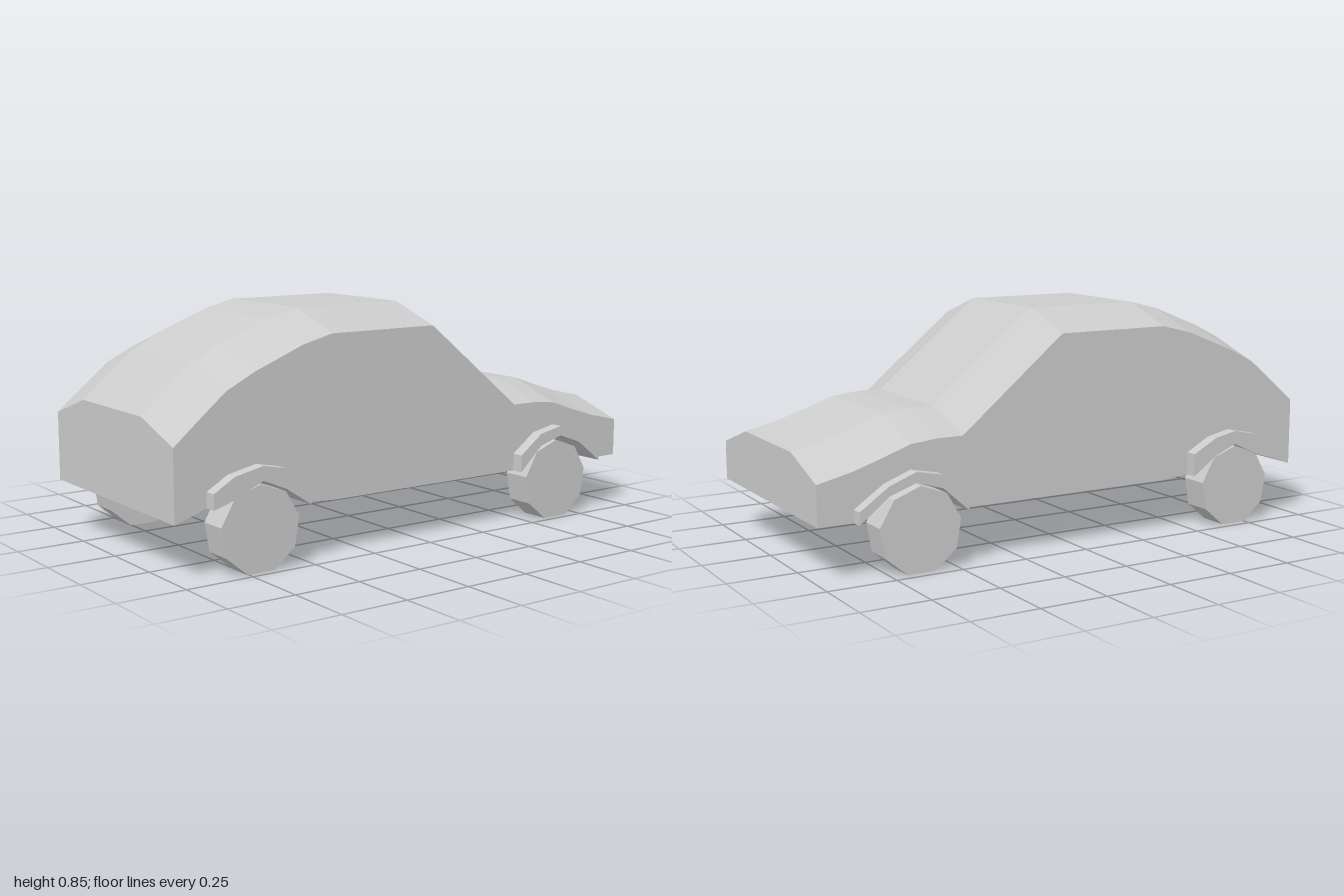
import * as THREE from 'three';

const material = () => new THREE.MeshStandardMaterial({ color: 0xcccccc, flatShading: true });

// Body stations along the car: [x, underside y, roofline y]
const STATIONS = [
  [-1, 0.195, 0.52], [-0.88, 0.235, 0.62], [-0.8, 0.26, 0.685], [-0.69, 0.31, 0.74],
  [-0.6, 0.272, 0.775], [-0.5, 0.205, 0.815], [-0.38, 0.195, 0.845], [0.06, 0.195, 0.845],
  [0.46, 0.195, 0.52], [0.56, 0.285, 0.52], [0.66, 0.315, 0.51], [0.76, 0.28, 0.475],
  [0.87, 0.195, 0.44], [1, 0.195, 0.41],
];
const HALF = 0.43, INNER = 0.215, DROP = 0.072;

// Loft the six-sided cross-section through all stations and cap both ends
function bodyGeometry() {
  const rings = STATIONS.map(([x, bottom, top]) => [
    [x, bottom, -HALF], [x, bottom, HALF], [x, top - DROP, HALF],
    [x, top, INNER], [x, top, -INNER], [x, top - DROP, -HALF],
  ]);
  const pos = [];
  const tri = (a, b, c) => pos.push(...a, ...b, ...c);
  for (let i = 0; i < rings.length - 1; i++) {
    for (let j = 0; j < 6; j++) {
      const k = (j + 1) % 6, r = rings[i], s = rings[i + 1];
      tri(r[j], s[j], r[k]);
      tri(s[j], s[k], r[k]);
    }
  }
  const rear = rings[0], nose = rings[rings.length - 1];
  for (let j = 1; j < 5; j++) {
    tri(rear[0], rear[j], rear[j + 1]);
    tri(nose[0], nose[j + 1], nose[j]);
  }
  const geometry = new THREE.BufferGeometry();
  geometry.setAttribute('position', new THREE.Float32BufferAttribute(pos, 3));
  geometry.computeVertexNormals();
  return geometry;
}

// Arch lip: outer curve, closed along the body's own wheel cut-out
function archGeometry(outer) {
  const x0 = outer[0][0], x1 = outer[outer.length - 1][0];
  const inner = STATIONS.filter(([x]) => x >= x0 && x <= x1).map(([x, y]) => [x, y]).reverse();
  const shape = new THREE.Shape([...outer, ...inner].map(([x, y]) => new THREE.Vector2(x, y)));
  return new THREE.ExtrudeGeometry(shape, { depth: 0.045, bevelEnabled: false });
}

export function createModel() {
  const car = new THREE.Group();
  car.name = 'car';
  const add = (name, geometry, x = 0, y = 0, z = 0) => {
    const mesh = new THREE.Mesh(geometry, material());
    mesh.name = name;
    mesh.position.set(x, y, z);
    car.add(mesh);
  };

  add('body', bodyGeometry());

  // Nine-sided wheels with a corner at the top, and lips over the cut-outs
  const wheel = new THREE.CylinderGeometry(0.1547, 0.1547, 0.108, 9).rotateX(-Math.PI / 2);
  const axles = [
    { name: 'rear', x: -0.7, arch: [[-0.88, 0.29], [-0.8, 0.337], [-0.69, 0.36], [-0.6, 0.342], [-0.5, 0.29]] },
    { name: 'front', x: 0.64, arch: [[0.46, 0.26], [0.56, 0.332], [0.66, 0.352], [0.76, 0.315], [0.87, 0.24]] },
  ];
  for (const { name, x, arch } of axles) {
    const lip = archGeometry(arch);
    add(name + 'LeftWheel', wheel, x, 0.1453, -0.411);
    add(name + 'RightWheel', wheel, x, 0.1453, 0.419);
    add(name + 'LeftArch', lip, 0, 0, -0.475);
    add(name + 'RightArch', lip, 0, 0, 0.43);
  }
  return car;
}
